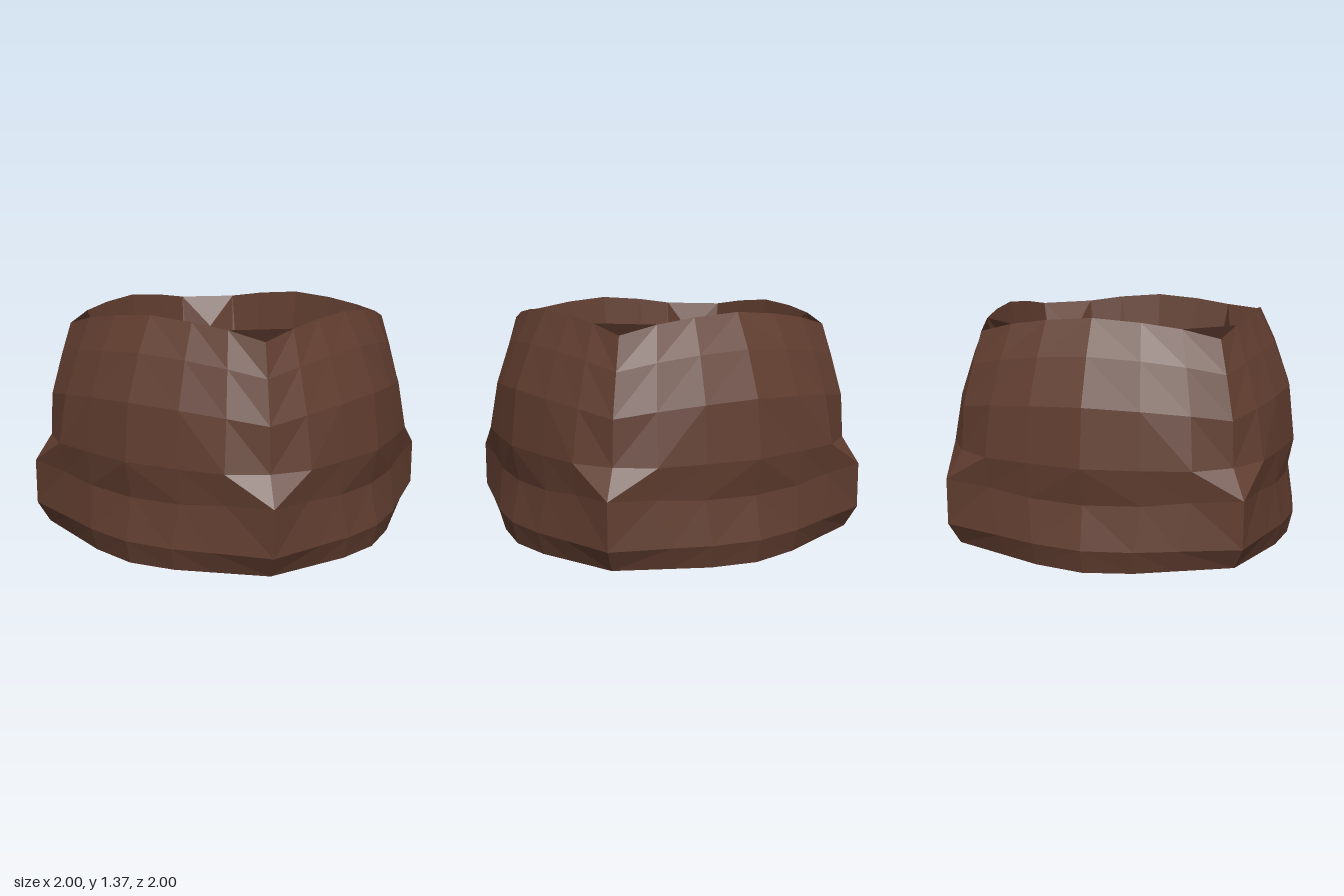
import * as THREE from 'three';

// Repeat one side's points (left corner to just before the right corner) round the four sides
function fourSides(side) {
  const ring = [];
  for (let k = 0; k < 4; k++) {
    const c = Math.round(Math.cos(k * Math.PI / 2)), s = Math.round(Math.sin(k * Math.PI / 2));
    for (const [x, y, z] of side) ring.push([x * c + z * s, y, z * c - x * s]);
  }
  return ring;
}

// Mirror a half side, given as corner, outer, inner and middle points with x positive
const mirrored = ([corner, outer, inner, mid]) => fourSides([
  ...[corner, outer, inner].map(([x, y, z]) => [-x, y, z]), mid, inner, outer,
]);

// Squared ring bowed from mid side to corner; xa and xb place the columns
// between, and bend is how far the outer column has bowed back
function squareRing([midD, midY, cornerD, cornerY, xa, xb, bend = 0.53]) {
  const at = (x, f) => [x, midY + (cornerY - midY) * f, midD + (cornerD - midD) * f];
  return mirrored([at(cornerD, 1), at(xb, bend), at(xa, 0.2), at(0, 0)]);
}

// Join rings with quads split symmetrically; optional centres close the ends
function loft(rings, startCentre, endCentre, extra = []) {
  const pos = [];
  const tri = (a, b, c) => pos.push(...a, ...b, ...c);
  const n = rings[0].length;
  for (let r = 0; r < rings.length - 1; r++) {
    const lo = rings[r], up = rings[r + 1];
    for (let i = 0; i < n; i++) {
      const j = (i + 1) % n;
      if (i % 6 < 3) {
        tri(lo[i], lo[j], up[j]);
        tri(lo[i], up[j], up[i]);
      } else {
        tri(lo[i], lo[j], up[i]);
        tri(lo[j], up[j], up[i]);
      }
    }
  }
  const last = rings[rings.length - 1];
  for (let i = 0; i < n; i++) {
    const j = (i + 1) % n;
    if (startCentre) tri(startCentre, rings[0][j], rings[0][i]);
    if (endCentre) tri(endCentre, last[i], last[j]);
  }
  extra.forEach(t => tri(...t));
  const g = new THREE.BufferGeometry();
  g.setAttribute('position', new THREE.Float32BufferAttribute(pos, 3));
  g.computeVertexNormals();
  return g;
}

export function createModel() {
  const group = new THREE.Group();
  const brown = new THREE.MeshStandardMaterial({ color: 0x623e30, flatShading: true, side: THREE.DoubleSide });
  brown.name = 'darkBrown';

  const add = (name, geometry) => {
    const mesh = new THREE.Mesh(geometry, brown);
    mesh.name = name;
    group.add(mesh);
  };

  // Outer shell: shallow domed base, projecting foot with dented band, tapering walls
  const rim = squareRing([0.76, 1.37, 0.665, 1.27, 0.26, 0.47, 0.5]);
  const shell = [
    [0.34, 0.002, 0.28, 0.008, 0.1, 0.18],
    [0.97, 0.045, 0.78, 0.08, 0.27, 0.48],
    [1.0, 0.175, 0.83, 0.2, 0.28, 0.5],
    [0.95, 0.41, 0.83, 0.46, 0.31, 0.56, 0.67],
    [0.99, 0.615, 0.76, 0.615, 0.31, 0.57, 0.43],
    [0.955, 0.93, 0.75, 0.86, 0.3, 0.55],
    [0.86, 1.18, 0.705, 1.09, 0.28, 0.51],
  ].map(squareRing);
  add('outerShell', loft([...shell, rim], [0, 0, 0]));

  // Hollow: steep walls with cut-off corners, above a shallow dished floor
  const hollowTop = rim.map((p, i) => i % 6 ? p : [Math.sign(p[0]) * 0.52, 1.13, Math.sign(p[2]) * 0.52]);
  const wallFoot = mirrored([[0.42, 0.2, 0.42], [0.34, 0.2, 0.5], [0.28, 0.2, 0.56], [0, 0.2, 0.575]]);
  const floorEdge = mirrored([[0.3, 0.07, 0.3], [0.29, 0.07, 0.305], [0.28, 0.07, 0.31], [0, 0.07, 0.32]]);
  // Sloping triangle at the top of each cut-off corner
  const caps = [0, 6, 12, 18].map(i => [hollowTop[(i + 23) % 24], hollowTop[i + 1], hollowTop[i]]);
  add('innerHollow', loft([hollowTop, wallFoot, floorEdge], null, [0, 0.06, 0], caps));

  return group;
}
